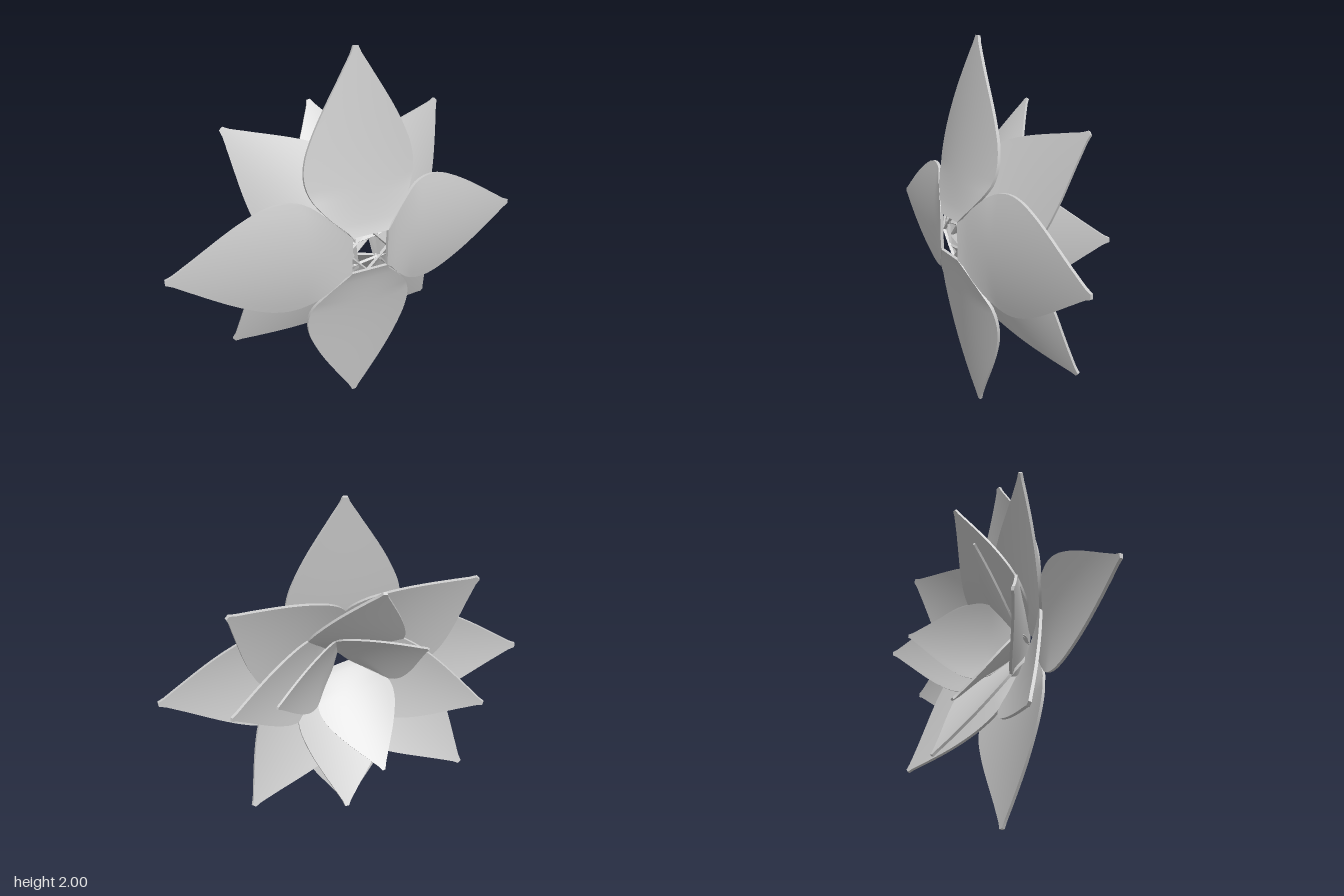
import * as THREE from 'three';

const LENGTH = 0.916;
const THICKNESS = 0.016;

// Half-width of a petal at even steps from base to tip
const halfWidths = [0.1, 0.195, 0.272, 0.303, 0.292, 0.252, 0.198, 0.135, 0.07, 0.012];
const outline = new THREE.SplineCurve(
  halfWidths.map((w, i) => new THREE.Vector2(i / (halfWidths.length - 1), w))
);

// Petal grows along +y, its outer face towards +z, its edges cupped towards -z
function petalGeometry() {
  const geometry = new THREE.BoxGeometry(1, 1, 1, 14, 28, 1);
  const pos = geometry.attributes.position;
  for (let i = 0; i < pos.count; i++) {
    const s = pos.getX(i) * 2;
    const t = pos.getY(i) + 0.5;
    const x = s * outline.getPoint(t).y;
    const sag = 0.02 * Math.sin(Math.PI * Math.pow(t, 0.6));
    const cup = 0.4 * x * x * Math.min(1, t * 4);
    pos.setXYZ(i, x, t * LENGTH, pos.getZ(i) * THICKNESS - sag - cup);
  }
  geometry.computeVertexNormals();
  return geometry;
}

// Rings from outermost to innermost: base and tip given as [radius, z], turn in degrees
const rings = [
  { name: 'outerPetal', count: 4, turn: 0, base: [0.1, 0.26], tip: [1.0, 0.09] },
  { name: 'secondPetal', count: 4, turn: 44, base: [0.08, 0.24], tip: [0.86, -0.15] },
  { name: 'thirdPetal', count: 4, turn: 8, base: [0.06, 0.235], tip: [0.67, -0.25] },
  { name: 'innerPetal', count: 3, turn: 15, base: [0.03, 0.225], tip: [0.455, -0.255] },
];

export function createModel() {
  const flower = new THREE.Group();
  flower.name = 'flower';
  const geometry = petalGeometry();
  const material = new THREE.MeshStandardMaterial({ color: 0xcccccc });

  for (const { name, count, turn, base, tip } of rings) {
    const dr = tip[0] - base[0];
    const dz = base[1] - tip[1];
    for (let i = 0; i < count; i++) {
      const petal = new THREE.Mesh(geometry, material);
      petal.name = name;
      petal.position.set(0, base[0], base[1]);
      petal.rotation.x = -Math.atan2(dz, dr);
      petal.scale.setScalar(Math.hypot(dr, dz) / LENGTH);

      // Turn the petal about the flower's axis
      const holder = new THREE.Group();
      holder.name = name + 'Holder';
      holder.position.y = 1;
      holder.rotation.z = THREE.MathUtils.degToRad(turn - 90 + (i * 360) / count);
      holder.add(petal);
      flower.add(holder);
    }
  }
  return flower;
}
